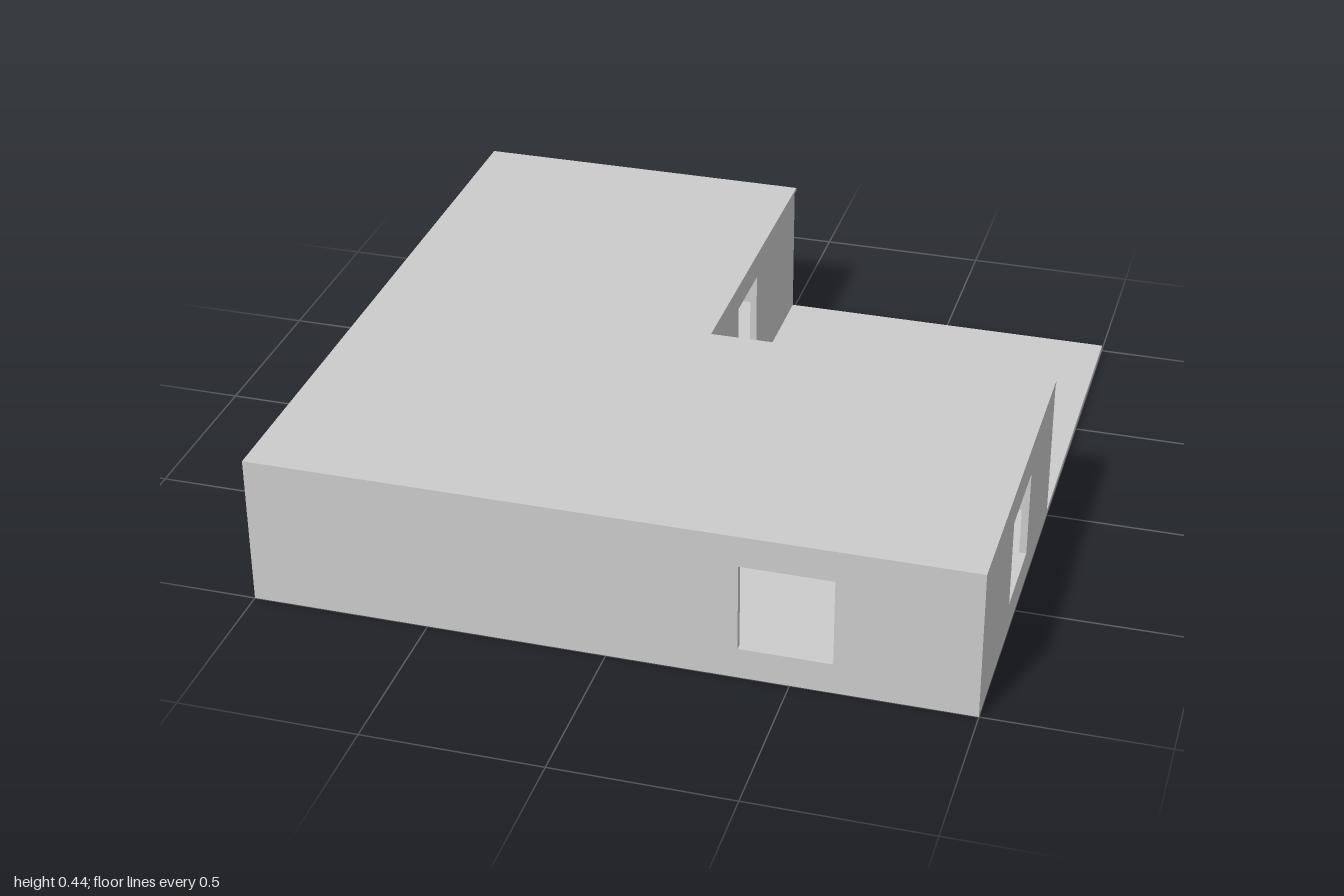
import * as THREE from 'three';

const material = new THREE.MeshStandardMaterial({ color: 0xcccccc, flatShading: true });
const T = 0.02;        // wall thickness
const FLOOR = 0.018;   // top of the ground slab
const EAVES = 0.425;   // top of the walls
const HEIGHT = 0.435;  // top of the roof

// Each opening is [from, to, bottom, top] along the wall
const windowAt = (a, b) => [a, b, 0.09, 0.345];
const doorAt = (a, b) => [a, b, FLOOR + 0.001, 0.35];

function polygon(points) {
  return new THREE.Shape(points.map(([x, y]) => new THREE.Vector2(x, y)));
}

function wallMesh(name, from, to, openings, depth) {
  const shape = polygon([[from, FLOOR], [to, FLOOR], [to, EAVES], [from, EAVES]]);
  for (const [a, b, lo, hi] of openings) {
    shape.holes.push(new THREE.Path([[a, lo], [a, hi], [b, hi], [b, lo]].map(([x, y]) => new THREE.Vector2(x, y))));
  }
  const mesh = new THREE.Mesh(new THREE.ExtrudeGeometry(shape, { depth, bevelEnabled: false }), material);
  mesh.name = name;
  return mesh;
}

// Wall running along x, from z to z + depth
function wallX(name, from, to, z, openings = [], depth = T) {
  const mesh = wallMesh(name, from, to, openings, depth);
  mesh.position.z = z;
  return mesh;
}

// Wall running along z, from x - T to x
function wallZ(name, from, to, x, openings = []) {
  const mesh = wallMesh(name, from, to, openings, T);
  mesh.rotation.y = -Math.PI / 2;
  mesh.position.x = x;
  return mesh;
}

export function createModel() {
  const house = new THREE.Group();
  house.name = 'house';

  // Square ground slab, open as a terrace in the back corner
  const slab = new THREE.Mesh(new THREE.BoxGeometry(2, FLOOR, 2), material);
  slab.name = 'groundSlab';
  slab.position.y = FLOOR / 2;
  house.add(slab);

  // Outer walls
  house.add(
    wallX('frontWall', -1, 1, 1 - T, [windowAt(0.36, 0.615)]),
    wallX('backWall', -1, 0, -1),
    wallZ('rightWall', -1 + T, 1 - T, -1 + T, [windowAt(-0.62, -0.37)]),
    wallZ('leftWall', 0, 1 - T, 1, [windowAt(0.35, 0.605)])
  );

  // Terrace walls; the inner layer leaves a shallow door recess indoors
  house.add(
    wallZ('terraceDoorWall', -1 + T, 0, 0, [doorAt(-0.54, -0.33)]),
    wallX('terraceWall', 0, 1 - T, 0, [], T / 2),
    wallX('terraceWallLining', 0, 1 - T, T / 2, [doorAt(0.4, 0.61)], T / 2)
  );

  // Partition between the two wings
  house.add(wallZ('partition', 0, 1 - T, 0, [doorAt(0.38, 0.59)]));

  // L-shaped flat roof with a slight overhang at the terrace (shape y is -z)
  const outline = polygon([[-1, -1], [1, -1], [1, 0.01], [0.005, 0.01], [0.005, 1], [-1, 1]]);
  const roof = new THREE.Mesh(
    new THREE.ExtrudeGeometry(outline, { depth: HEIGHT - EAVES, bevelEnabled: false }), material);
  roof.name = 'roof';
  roof.rotation.x = -Math.PI / 2;
  roof.position.y = EAVES;
  house.add(roof);

  return house;
}
